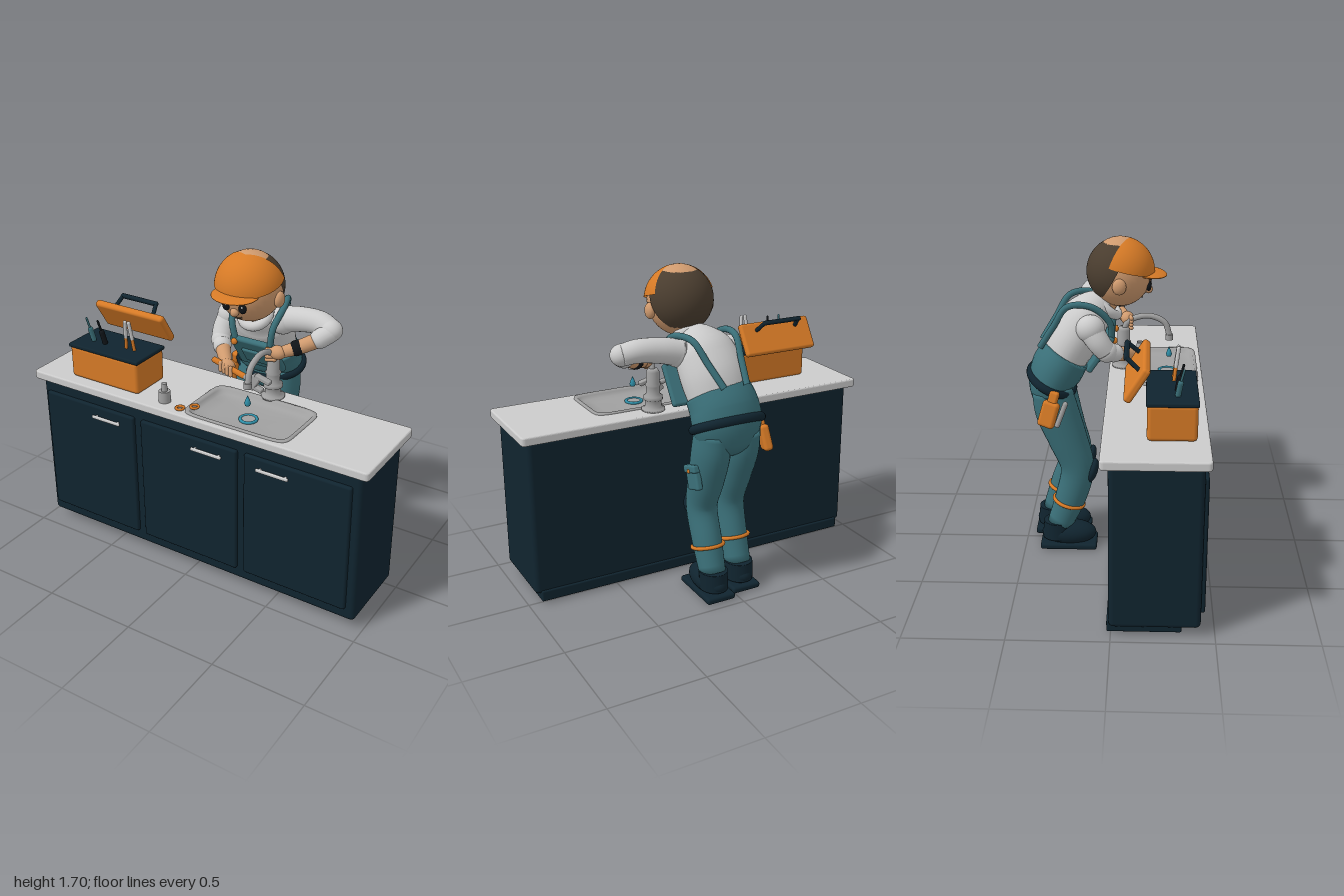
import * as THREE from 'three';
import { RoundedBoxGeometry } from 'three/addons/geometries/RoundedBoxGeometry.js';

const V = (x, y, z) => new THREE.Vector3(x, y, z);
const mat = (color, side = THREE.FrontSide) => new THREE.MeshStandardMaterial({ color, side });
const navy = mat(0x10242f), orange = mat(0xd67a26), teal = mat(0x3a6f78), skin = mat(0xcf9a6e), white = mat(0xe2e2e2),
  grey = mat(0xcccccc), metal = mat(0xa0a0a0), black = mat(0x101418), brown = mat(0x4a3d2f), water = mat(0x2f8fa8);

function add(parent, name, geo, material, pos = [0, 0, 0], rot = [0, 0, 0]) {
  const m = new THREE.Mesh(geo, material);
  m.name = name;
  m.position.set(...pos);
  m.rotation.set(...rot);
  parent.add(m);
  return m;
}
const box = (p, name, m, size, pos, r = 0.01, rot) => add(p, name, new RoundedBoxGeometry(...size, 3, r), m, pos, rot);
const ball = (p, name, m, radii, pos, rot) => add(p, name, new THREE.SphereGeometry(1, 32, 20).scale(...radii), m, pos, rot);
const cyl = (p, name, m, r1, r2, h, pos, rot) => add(p, name, new THREE.CylinderGeometry(r1, r2, h, 28), m, pos, rot);
const tube = (p, name, m, pts, r) =>
  add(p, name, new THREE.TubeGeometry(new THREE.CatmullRomCurve3(pts.map(q => V(...q))), 40, r, 12), m);
// Rounded rod between two points
function rod(p, name, m, a, b, r) {
  const d = V(...b).sub(V(...a));
  const mesh = add(p, name, new THREE.CapsuleGeometry(r, d.length(), 6, 16), m);
  mesh.position.copy(V(...a).addScaledVector(d, 0.5));
  mesh.quaternion.setFromUnitVectors(V(0, 1, 0), d.normalize());
  return mesh;
}
// Skin over a list of closed rings
function ringSkin(rings) {
  const n = rings[0].length, pos = [], idx = [];
  rings.forEach(r => r.forEach(v => pos.push(v.x, v.y, v.z)));
  for (let i = 0; i < rings.length - 1; i++) for (let j = 0; j < n; j++) {
    const a = i * n + j, b = i * n + (j + 1) % n;
    idx.push(a, b, a + n, b, b + n, a + n);
  }
  const g = new THREE.BufferGeometry();
  g.setAttribute('position', new THREE.Float32BufferAttribute(pos, 3));
  g.setIndex(idx);
  g.computeVertexNormals();
  return g;
}
// Body part swept through points [x, y, z, half width, half depth]
function loft(p, name, m, pts, ref = V(1, 0, 0)) {
  const path = new THREE.CatmullRomCurve3(pts.map(q => V(q[0], q[1], q[2])));
  const size = new THREE.CatmullRomCurve3(pts.map(q => V(q[3], q[4] ?? q[3], 0)));
  const rings = [], K = 24, N = 28;
  const ring = (t, s) => {
    const c = path.getPoint(t), r = size.getPoint(t), d = path.getTangent(t);
    const u = ref.clone().addScaledVector(d, -ref.dot(d)).normalize(), v = d.clone().cross(u);
    return Array.from({ length: N }, (_, j) => {
      const a = j / N * Math.PI * 2;
      return c.clone().addScaledVector(u, Math.cos(a) * r.x * s).addScaledVector(v, Math.sin(a) * r.y * s);
    });
  };
  rings.push(ring(0, 0));
  for (let k = 0; k <= K; k++) rings.push(ring(k / K, 1));
  rings.push(ring(1, 0));
  return add(p, name, ringSkin(rings), m);
}
function roundRect(s, x0, y0, x1, y1, r) {
  s.moveTo(x0 + r, y0).lineTo(x1 - r, y0).quadraticCurveTo(x1, y0, x1, y0 + r).lineTo(x1, y1 - r)
    .quadraticCurveTo(x1, y1, x1 - r, y1).lineTo(x0 + r, y1).quadraticCurveTo(x0, y1, x0, y1 - r)
    .lineTo(x0, y0 + r).quadraticCurveTo(x0, y0, x0 + r, y0);
  return s;
}

function buildCounter(root) {
  const g = new THREE.Group(); g.name = 'counter'; root.add(g);
  box(g, 'cabinet', navy, [1.92, 0.85, 0.44], [0, 0.475, 0.21], 0.025);
  box(g, 'toeKick', navy, [1.86, 0.06, 0.36], [0, 0.04, 0.16], 0.008);
  for (const [x, hx] of [[-0.635, -0.51], [-0.005, 0.12], [0.622, 0.5]]) {
    box(g, 'door', navy, [0.585, 0.71, 0.03], [x, 0.475, 0.435], 0.012);
    box(g, 'doorHandle', grey, [0.18, 0.018, 0.014], [hx, 0.775, 0.466], 0.006);
    for (const s of [-0.07, 0.07]) box(g, 'handlePost', grey, [0.012, 0.012, 0.03], [hx + s, 0.775, 0.455], 0.003);
  }
  // Worktop with a cut-out for the sink
  const top = roundRect(new THREE.Shape(), -0.99, -0.45, 0.99, 0.04, 0.015);
  top.holes.push(roundRect(new THREE.Path(), -0.04, -0.425, 0.54, -0.075, 0.05));
  add(g, 'worktop', new THREE.ExtrudeGeometry(top, { depth: 0.03, bevelSize: 0.008, bevelThickness: 0.008, bevelSegments: 3 })
    .rotateX(-Math.PI / 2), grey, [0, 0.902, 0]);
  // Shallow basin: half width, half depth, height
  const pow = c => Math.sign(c) * Math.abs(c) ** 0.24;
  const basin = [[0.302, 0.183, 0.938], [0.302, 0.183, 0.948], [0.285, 0.168, 0.948], [0.278, 0.162, 0.938],
    [0.262, 0.148, 0.92], [0.2, 0.11, 0.914], [0.03, 0.02, 0.912], [0, 0, 0.912]].map(([a, b, y]) =>
    Array.from({ length: 96 }, (_, j) => {
      const t = j / 96 * Math.PI * 2;
      return V(0.25 + a * pow(Math.cos(t)), y, 0.25 - b * pow(Math.sin(t)));
    }));
  add(g, 'basin', ringSkin(basin), metal);
  add(g, 'drainRing', new THREE.TorusGeometry(0.042, 0.008, 10, 32).rotateX(Math.PI / 2), water, [0.25, 0.918, 0.27]);
  cyl(g, 'drain', metal, 0.036, 0.036, 0.01, [0.25, 0.915, 0.27]);
  // Tap
  const profile = [[0, 0.94], [0.062, 0.94], [0.062, 0.953], [0.042, 0.96], [0.042, 0.995], [0.05, 1], [0.05, 1.02],
    [0.036, 1.03], [0.036, 1.07], [0.042, 1.08], [0.034, 1.09], [0.034, 1.15], [0.025, 1.165], [0, 1.165]];
  add(g, 'tapBody', new THREE.LatheGeometry(profile.map(q => new THREE.Vector2(...q)), 28), metal, [0.25, 0, 0.03]);
  tube(g, 'spout', metal, [[0.25, 1.13, 0.03], [0.25, 1.19, 0.05], [0.25, 1.225, 0.12], [0.25, 1.225, 0.19],
    [0.25, 1.19, 0.255], [0.25, 1.12, 0.28]], 0.016);
  cyl(g, 'nozzle', metal, 0.021, 0.021, 0.03, [0.25, 1.11, 0.28]);
  const drop = [[0, -0.025], [0.012, -0.021], [0.017, -0.008], [0.011, 0.01], [0, 0.035]];
  add(g, 'waterDrop', new THREE.LatheGeometry(drop.map(q => new THREE.Vector2(...q)), 16), water, [0.25, 1.02, 0.28]);
  // Loose items
  cyl(g, 'bottle', metal, 0.03, 0.032, 0.06, [-0.19, 0.97, 0.37]);
  cyl(g, 'bottleNeck', metal, 0.014, 0.016, 0.045, [-0.19, 1.02, 0.37]);
  for (const [x, z] of [[-0.075, 0.4], [-0.02, 0.35]])
    add(g, 'washer', new THREE.TorusGeometry(0.02, 0.007, 8, 24).rotateX(Math.PI / 2), orange, [x, 0.947, z]);
}

function buildToolbox(root) {
  const g = new THREE.Group(); g.name = 'toolbox'; g.position.set(-0.56, 0, 0.28); root.add(g);
  box(g, 'toolboxBody', orange, [0.44, 0.18, 0.235], [0, 1.03, 0], 0.02);
  box(g, 'tray', navy, [0.45, 0.022, 0.245], [0, 1.122, 0], 0.008);
  const lid = new THREE.Group(); lid.name = 'lid'; g.add(lid);
  lid.position.set(0, 1.21, -0.165); lid.rotation.x = 0.56;
  box(lid, 'lidPanel', orange, [0.44, 0.185, 0.04], [0, 0, 0], 0.015);
  box(lid, 'lidHandle', navy, [0.24, 0.024, 0.024], [0, 0.058, -0.095], 0.008);
  for (const s of [-1, 1]) rod(lid, 'handleLeg', navy, [0.11 * s, 0.058, -0.09], [0.125 * s, 0.045, -0.02], 0.011);
  // Tools standing in the tray
  for (const [x, m] of [[-0.14, teal], [-0.065, black]]) {
    rod(g, 'screwdriverGrip', m, [x + 0.01, 1.14, 0.025], [x, 1.2, 0.035], 0.014);
    rod(g, 'screwdriverShaft', m, [x, 1.2, 0.035], [x - 0.01, 1.265, 0.05], 0.006);
  }
  for (const s of [-1, 1]) {
    rod(g, 'pliersArm', orange, [0.1 + 0.026 * s, 1.13, 0.01], [0.1 + 0.02 * s, 1.2, 0.018], 0.009);
    rod(g, 'pliersJaw', grey, [0.1 + 0.02 * s, 1.2, 0.018], [0.1 + 0.012 * s, 1.29, 0.03], 0.01);
  }
}

function buildHead(root) {
  const h = new THREE.Group(); h.name = 'head'; h.position.set(0.1, 1.515, 0.015); root.add(h);
  ball(h, 'face', skin, [0.167, 0.182, 0.167], [0, 0, 0]);
  add(h, 'hair', new THREE.SphereGeometry(0.175, 40, 20, 0, Math.PI * 2, 0, 1.45), mat(0x4a3d2f, THREE.DoubleSide), [0, 0.003, 0], [-1.08, 0, 0]);
  add(h, 'cap', new THREE.SphereGeometry(0.181, 40, 20, Math.PI / 2 - 1.95, 3.9, 0, 1.36), mat(0xd67a26, THREE.DoubleSide), [0, 0, 0], [0.265, 0, 0]);
  ball(h, 'capPeak', orange, [0.125, 0.014, 0.1], [0, -0.004, 0.145], [0.12, 0, 0]);
  for (const s of [-1, 1]) {
    ball(h, 'ear', skin, [0.025, 0.042, 0.036], [0.168 * s, -0.04, 0]);
    ball(h, 'eye', black, [0.021, 0.028, 0.015], [0.047 * s, -0.064, 0.149]);
    ball(h, 'eyeGlint', white, [0.005, 0.006, 0.004], [0.047 * s + 0.006, -0.054, 0.163]);
    rod(h, 'eyebrow', brown, [0.03 * s, -0.024, 0.162], [0.065 * s, -0.026, 0.152], 0.005);
  }
  ball(h, 'nose', skin, [0.023, 0.023, 0.023], [0, -0.094, 0.148]);
  tube(h, 'mouth', brown, [[-0.03, -0.125, 0.12], [0, -0.137, 0.114], [0.03, -0.125, 0.12]], 0.004);
}

function buildBody(root) {
  const g = new THREE.Group(); g.name = 'plumber'; root.add(g);
  loft(g, 'pelvis', teal, [[0.02, 0.8, -0.32, 0.08, 0.07], [0.02, 0.86, -0.335, 0.165, 0.115], [0.02, 0.95, -0.34, 0.19, 0.128],
    [0.02, 1.02, -0.31, 0.188, 0.14], [0.03, 1.09, -0.265, 0.18, 0.133]]);
  add(g, 'belt', new THREE.TorusGeometry(1, 0.14, 12, 48).rotateX(Math.PI / 2).scale(0.185, 0.17, 0.128), navy, [0.02, 0.945, -0.345], [0.47, 0, 0]);
  loft(g, 'shirt', white, [[0.03, 1.05, -0.29, 0.165, 0.12], [0.04, 1.17, -0.23, 0.175, 0.137], [0.055, 1.27, -0.165, 0.165, 0.128],
    [0.075, 1.33, -0.105, 0.115, 0.1], [0.09, 1.37, -0.06, 0.06, 0.06]]);
  add(g, 'collar', new THREE.TorusGeometry(0.075, 0.026, 12, 32), white, [0.09, 1.335, -0.055], [-0.85, 0, 0]);
  rod(g, 'neck', skin, [0.08, 1.32, -0.08], [0.1, 1.42, -0.01], 0.06);
  // Bib and braces
  box(g, 'bib', teal, [0.27, 0.23, 0.035], [0.09, 1.1, -0.085], 0.014, [0.6, 0, 0]);
  box(g, 'bibPocket', teal, [0.15, 0.1, 0.02], [0.09, 1.085, -0.07], 0.008, [0.6, 0, 0]);
  for (const [x0, x1, x2, x3] of [[-0.01, -0.07, -0.075, -0.06], [0.195, 0.215, 0.17, 0.07]]) {
    tube(g, 'brace', teal, [[x0, 1.17, -0.025], [(x0 + x1) / 2, 1.28, -0.035], [x1, 1.37, -0.13],
      [x2, 1.37, -0.25], [(x2 + x3) / 2, 1.26, -0.325], [x3, 1.15, -0.395]], 0.017);
    ball(g, 'braceButton', orange, [0.018, 0.018, 0.014], [x0, 1.172, -0.008]);
  }
  // Legs, with the right foot a little ahead
  for (const [x, dz, s] of [[0.105, 0, 1], [-0.07, 0.04, -1]]) {
    const leg = new THREE.Group(); leg.name = s > 0 ? 'leftLeg' : 'rightLeg'; g.add(leg);
    loft(leg, 'trouserLeg', teal, [[x, 0.92, -0.34, 0.088, 0.105], [x, 0.8, -0.325 + dz / 4, 0.096, 0.115], [x, 0.64, -0.28 + dz / 2, 0.09, 0.105],
      [x, 0.47, -0.23 + dz / 2, 0.08, 0.09], [x, 0.3, -0.285 + dz, 0.078, 0.085], [x, 0.13, -0.35 + dz, 0.07, 0.07]]);
    ball(leg, 'kneePad', navy, [0.062, 0.07, 0.03], [x, 0.45, -0.15 + dz / 2], [0.3, 0, 0]);
    add(leg, 'shinBand', new THREE.TorusGeometry(0.083, 0.01, 10, 36).rotateX(Math.PI / 2), orange, [x, 0.265, -0.298 + dz], [0.28, 0, 0]);
    ball(leg, 'boot', navy, [0.08, 0.068, 0.15], [x, 0.075, -0.3 + dz]);
    loft(leg, 'bootShaft', navy, [[x, 0.05, -0.36 + dz, 0.074, 0.085], [x, 0.15, -0.36 + dz, 0.074, 0.078]]);
    box(leg, 'sole', navy, [0.165, 0.035, 0.31], [x, 0.0175, -0.3 + dz], 0.014);
  }
  // Thigh pocket
  const p = new THREE.Group(); p.name = 'thighPocket'; p.position.set(0.195, 0.67, -0.315); p.rotation.x = 0.3; g.add(p);
  box(p, 'pocket', teal, [0.035, 0.12, 0.11], [0, 0, 0], 0.012);
  box(p, 'pocketFlap', teal, [0.045, 0.04, 0.12], [0.003, 0.05, 0], 0.01);
  ball(p, 'pocketButton', orange, [0.008, 0.011, 0.011], [0.026, 0.04, 0]);
  // Tool hung from the belt
  const t = new THREE.Group(); t.name = 'beltTool'; t.position.set(-0.2, 0.85, -0.34); t.rotation.set(0.25, -0.25, -0.12); g.add(t);
  box(t, 'toolPouch', orange, [0.05, 0.14, 0.09], [0, -0.02, 0], 0.018);
  box(t, 'pouchLoop', orange, [0.04, 0.07, 0.05], [0.005, 0.07, 0], 0.012);
  rod(t, 'pouchTool', metal, [0, -0.06, 0.06], [0, 0.06, 0.07], 0.014);
}

function buildArms(root) {
  const g = new THREE.Group(); g.name = 'arms'; root.add(g);
  const Z = V(0, 0, 1);
  // Left arm reaches out and back to the tap
  ball(g, 'leftShoulder', white, [0.075, 0.075, 0.075], [0.2, 1.29, -0.15]);
  loft(g, 'leftSleeve', white, [[0.19, 1.29, -0.155, 0.07], [0.3, 1.315, -0.155, 0.065], [0.42, 1.325, -0.145, 0.06], [0.49, 1.31, -0.125, 0.055]], Z);
  ball(g, 'leftElbow', white, [0.06, 0.056, 0.058], [0.49, 1.31, -0.122]);
  rod(g, 'leftCuff', white, [0.49, 1.3, -0.11], [0.455, 1.275, -0.07], 0.051);
  loft(g, 'leftForearm', skin, [[0.46, 1.275, -0.075, 0.041], [0.38, 1.235, -0.015, 0.037], [0.3, 1.205, 0.04, 0.03]], V(0, 1, 0));
  rod(g, 'watchStrap', black, [0.367, 1.23, -0.007], [0.361, 1.227, -0.003], 0.041);
  ball(g, 'leftHand', skin, [0.045, 0.036, 0.036], [0.285, 1.205, 0.05]);
  for (let i = 0; i < 4; i++) rod(g, 'leftFinger', skin, [0.275, 1.222 - i * 0.018, 0.062], [0.235, 1.217 - i * 0.018, 0.073], 0.011);
  // Right arm bends across the front
  ball(g, 'rightShoulder', white, [0.07, 0.072, 0.075], [-0.105, 1.265, -0.13]);
  loft(g, 'rightSleeve', white, [[-0.1, 1.27, -0.135, 0.066], [-0.12, 1.2, -0.09, 0.06], [-0.115, 1.145, -0.05, 0.054]]);
  ball(g, 'rightElbow', white, [0.056, 0.056, 0.056], [-0.112, 1.145, -0.047]);
  rod(g, 'rightCuff', white, [-0.108, 1.14, -0.04], [-0.085, 1.13, -0.01], 0.049);
  loft(g, 'rightForearm', skin, [[-0.09, 1.13, -0.02, 0.042], [-0.04, 1.11, 0.04, 0.037], [0.01, 1.09, 0.095, 0.03]], V(0, 1, 0));
  ball(g, 'rightHand', skin, [0.043, 0.037, 0.037], [0.02, 1.085, 0.105]);
  for (let i = 0; i < 4; i++) rod(g, 'rightFinger', skin, [-0.005 + i * 0.02, 1.105 - i * 0.005, 0.13], [0 + i * 0.02, 1.07 - i * 0.005, 0.137], 0.011);
  // Wrench
  const w = new THREE.Group(); w.name = 'wrench'; w.position.set(0.03, 1.088, 0.12); w.rotation.z = -0.26; g.add(w);
  rod(w, 'wrenchGrip', orange, [-0.08, 0, 0], [0.1, 0, 0], 0.016);
  rod(w, 'wrenchNeck', metal, [0.1, 0, 0], [0.17, 0, 0], 0.014);
  box(w, 'wrenchHead', metal, [0.05, 0.085, 0.036], [0.165, 0, 0], 0.008, [0, 0, -0.3]);
  box(w, 'upperJaw', metal, [0.09, 0.024, 0.034], [0.21, 0.04, 0], 0.006);
  box(w, 'lowerJaw', metal, [0.06, 0.024, 0.034], [0.195, -0.026, 0], 0.006);
}

export function createModel() {
  const root = new THREE.Group();
  root.name = 'plumberAtSink';
  [buildCounter, buildToolbox, buildHead, buildBody, buildArms].forEach(build => build(root));
  return root;
}
